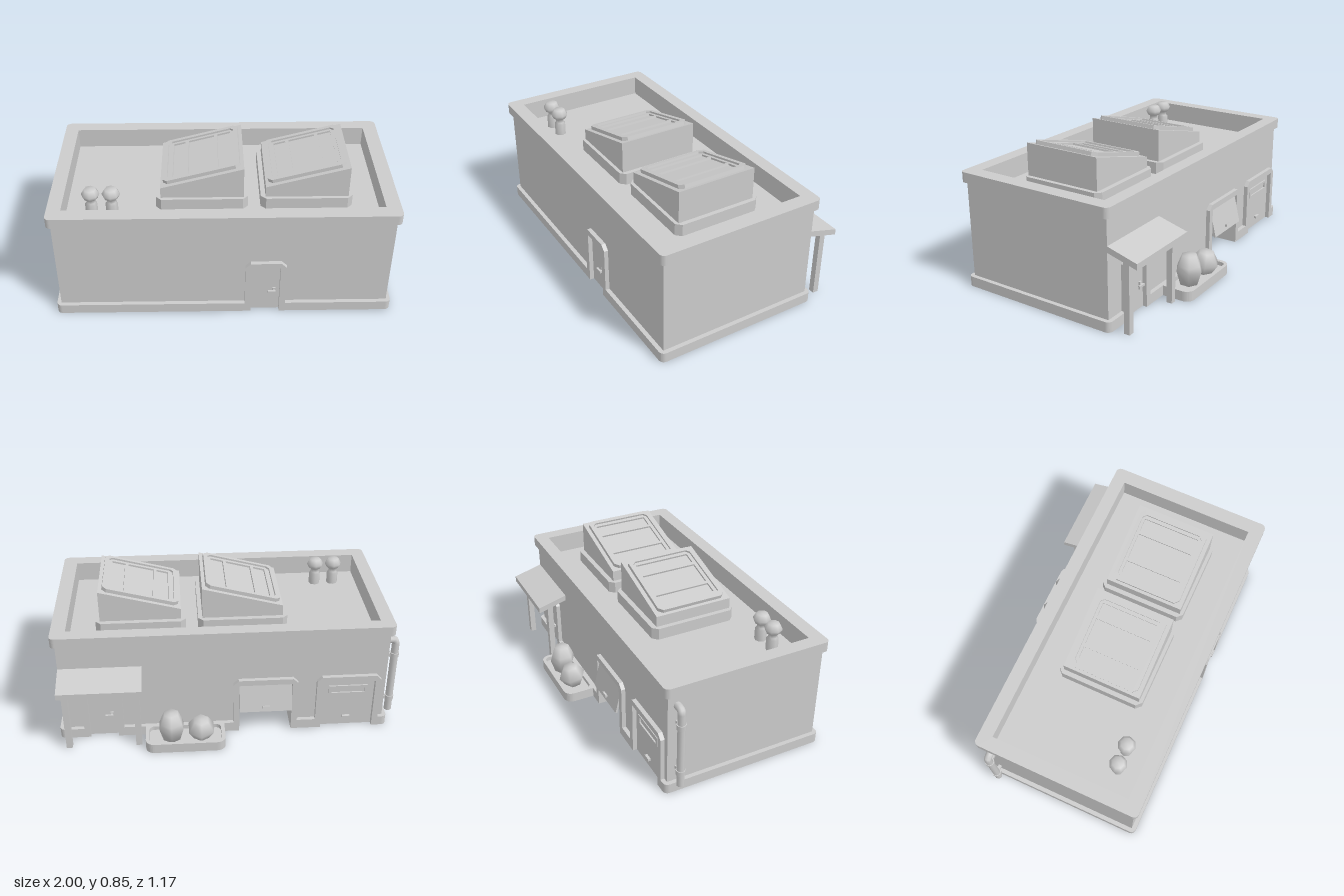
import * as THREE from 'three';

const mat = new THREE.MeshStandardMaterial({ color: 0xcccccc });

function add(parent, name, geo, x = 0, y = 0, z = 0) {
  const m = new THREE.Mesh(geo, mat);
  m.name = name;
  m.position.set(x, y, z);
  parent.add(m);
  return m;
}
const box = (w, h, d) => new THREE.BoxGeometry(w, h, d);
const poly = (pts) => new THREE.Shape(pts.map((p) => new THREE.Vector2(p[0], p[1])));

// Extrude a plan drawn in (x, -z) upwards from y0 to y1
function slab(shape, y0, y1) {
  const g = new THREE.ExtrudeGeometry(shape, { depth: y1 - y0, bevelEnabled: false, curveSegments: 4 });
  return g.rotateX(-Math.PI / 2).translate(0, y0, 0);
}

// Rounded rectangular plan with notches [x0, x1, depth] in its front and back edges
function plan(x0, x1, z0, z1, r = 0, front = [], back = []) {
  const s = new THREE.Shape();
  s.moveTo(x0 + r, -z1);
  for (const [a, b, d] of front) {
    s.lineTo(a, -z1); s.lineTo(a, -z1 + d); s.lineTo(b, -z1 + d); s.lineTo(b, -z1);
  }
  s.lineTo(x1 - r, -z1);
  if (r) s.absarc(x1 - r, -z1 + r, r, -Math.PI / 2, 0);
  s.lineTo(x1, -z0 - r);
  if (r) s.absarc(x1 - r, -z0 - r, r, 0, Math.PI / 2);
  for (const [a, b, d] of back) {
    s.lineTo(b, -z0); s.lineTo(b, -z0 - d); s.lineTo(a, -z0 - d); s.lineTo(a, -z0);
  }
  s.lineTo(x0 + r, -z0);
  if (r) s.absarc(x0 + r, -z0 - r, r, Math.PI / 2, Math.PI);
  s.lineTo(x0, -z1 + r);
  if (r) s.absarc(x0 + r, -z1 + r, r, Math.PI, Math.PI * 1.5);
  return s;
}

// Rectangle with cut corners
function octagon(x0, x1, z0, z1, c) {
  return poly([[x0 + c, -z1], [x1 - c, -z1], [x1, -z1 + c], [x1, -z0 - c],
    [x1 - c, -z0], [x0 + c, -z0], [x0, -z0 - c], [x0, -z1 + c]]);
}
function withHoles(shape, ...holes) {
  shape.holes.push(...holes);
  return shape;
}

// Doorway surround of a given opening width, facing +z
function surround(parent, w) {
  const a = w / 2, b = a + 0.035, h = 0.325, t = 0.36, c = 0.03;
  const s = poly([[-b, 0], [-a, 0], [-a, h], [a, h], [a, 0], [b, 0], [b, t - c], [b - c, t], [-b + c, t], [-b, t - c]]);
  add(parent, 'surround', new THREE.ExtrudeGeometry(s, { depth: 0.035, bevelEnabled: false }), 0, 0, -0.01);
}
function doorway(parent, name, x, z, turn) {
  const g = new THREE.Group();
  g.name = name;
  g.position.set(x, 0, z);
  g.rotation.y = turn;
  surround(g, 0.165);
  add(g, 'doorLeaf', box(0.165, 0.325, 0.01), 0, 0.1625, -0.006);
  add(g, 'handlePlate', box(0.018, 0.045, 0.012), 0.05, 0.14, 0.004);
  add(g, 'handleLever', box(0.045, 0.012, 0.012), 0.037, 0.147, 0.022);
  add(g, 'handleStem', box(0.012, 0.012, 0.02), 0.05, 0.147, 0.012);
  parent.add(g);
}

function skylight(parent, x) {
  const g = new THREE.Group();
  g.name = 'skylight';
  g.position.x = x;
  add(g, 'plinth', slab(octagon(-0.36, 0.165, -0.18, 0.345, 0.03), 0.57, 0.64));
  const side = poly([[-0.333, 0.6], [0.14, 0.6], [0.14, 0.83], [-0.333, 0.705]]);
  add(g, 'wedge', new THREE.ExtrudeGeometry(side, { depth: 0.475, bevelEnabled: false }), 0, 0, -0.15);
  // sloping window, laid out along the slope
  const slope = new THREE.Group();
  slope.name = 'window';
  slope.position.set(-0.333, 0.705, 0);
  slope.rotation.z = Math.atan2(0.125, 0.473);
  add(slope, 'windowFrame', slab(withHoles(octagon(0.018, 0.468, -0.125, 0.3, 0.025),
    octagon(0.045, 0.442, -0.102, 0.277, 0.02)), -0.005, 0.022));
  const panes = [[0.075, 0.147], [0.167, 0.322], [0.342, 0.42]];
  add(slope, 'glazingBars', slab(withHoles(octagon(0.045, 0.442, -0.102, 0.277, 0.02),
    ...panes.map(([a, b]) => plan(a, b, -0.085, 0.255))), -0.004, 0.011));
  g.add(slope);
  parent.add(g);
}

function lathe(pts, n) {
  return new THREE.LatheGeometry(pts.map((p) => new THREE.Vector2(p[0], p[1])), n);
}

export function createModel() {
  const root = new THREE.Group();
  root.name = 'building';
  const doorF = 0.2625, doorB = 0.74, bay = -0.215, garage = -0.705;
  const span = (c, w, d) => [c - w / 2, c + w / 2, d];

  // Base, walls with recesses, and parapet around a sunken roof
  add(root, 'base', slab(plan(-0.95, 1, -0.41, 0.585, 0.03, [span(doorF, 0.235, 0.035)],
    [span(doorB, 0.235, 0.035), span(bay, 0.31, 0.21), span(garage, 0.38, 0.035)]), 0, 0.06));
  add(root, 'lowerWalls', slab(plan(-0.925, 0.975, -0.385, 0.56, 0, [span(doorF, 0.165, 0.01)],
    [span(doorB, 0.165, 0.01), span(bay, 0.31, 0.185), span(garage, 0.31, 0.01)]), 0.06, 0.325));
  add(root, 'upperWalls', slab(plan(-0.925, 0.975, -0.385, 0.56), 0.325, 0.57));
  const inner = () => plan(-0.87, 0.915, -0.33, 0.5);
  add(root, 'parapetWall', slab(withHoles(plan(-0.925, 0.975, -0.385, 0.56), inner()), 0.57, 0.63));
  add(root, 'parapetCap', slab(withHoles(plan(-0.95, 1, -0.41, 0.585, 0.03), inner()), 0.63, 0.69));

  doorway(root, 'frontDoor', doorF, 0.56, 0);
  doorway(root, 'backDoor', doorB, -0.385, Math.PI);

  // Half-open bay and closed garage door at the back
  for (const [name, x] of [['openBay', bay], ['garage', garage]]) {
    const g = new THREE.Group();
    g.name = name;
    g.position.set(x, 0, -0.385);
    g.rotation.y = Math.PI;
    surround(g, 0.31);
    const leaf = new THREE.Group();
    leaf.name = 'shutter';
    g.add(leaf);
    if (name === 'openBay') {
      leaf.position.set(0, 0.325, 0);
      leaf.rotation.x = -0.24;
      add(leaf, 'panel', box(0.308, 0.18, 0.012), 0, -0.09, 0);
      add(leaf, 'handle', box(0.045, 0.014, 0.016), 0, -0.15, 0.012);
    } else {
      add(leaf, 'panel', box(0.31, 0.325, 0.01), 0, 0.1625, -0.006);
      const slot = withHoles(plan(-0.115, 0.115, -0.03, 0.03), plan(-0.1, 0.1, -0.018, 0.018));
      add(leaf, 'slotFrame', new THREE.ExtrudeGeometry(slot, { depth: 0.01, bevelEnabled: false }), 0, 0.255, -0.002);
      add(leaf, 'handle', box(0.045, 0.014, 0.018), 0, 0.06, 0.006);
    }
    root.add(g);
  }

  // Awning on two posts over the back door
  const roof = poly([[0.385, 0.44], [0.565, 0.39], [0.565, 0.425], [0.385, 0.475]]);
  const awning = new THREE.ExtrudeGeometry(roof, { depth: 0.475, bevelEnabled: false });
  add(root, 'awning', awning.rotateY(Math.PI / 2), 0.5, 0, 0);
  for (const x of [0.535, 0.94]) add(root, 'awningPost', box(0.035, 0.42, 0.035), x, 0.21, -0.487);

  // Planter tray with two six-sided jars
  const trayPlan = (x0, x1, z0, r) => {
    const s = new THREE.Shape();
    s.moveTo(x0, 0.405);
    s.lineTo(x1, 0.405);
    s.lineTo(x1, -z0 - r);
    s.absarc(x1 - r, -z0 - r, r, 0, Math.PI / 2);
    s.absarc(x0 + r, -z0 - r, r, Math.PI / 2, Math.PI);
    return s;
  };
  add(root, 'trayFloor', slab(trayPlan(0.03, 0.495, -0.585, 0.05), 0, 0.035));
  const rim = trayPlan(0.03, 0.495, -0.585, 0.05);
  rim.holes.push(plan(0.052, 0.473, -0.565, -0.415, 0.03));
  add(root, 'trayRim', slab(rim, 0.035, 0.06));
  add(root, 'tallJar', lathe([[0, 0.035], [0.055, 0.035], [0.08, 0.12], [0.07, 0.15], [0.045, 0.21], [0, 0.21]], 6),
    0.343, 0, -0.488);
  const jar = add(root, 'roundJar', lathe([[0, -0.065], [0.05, -0.065], [0.084, 0], [0.045, 0.065], [0, 0.065]], 6),
    0.17, 0.1, -0.493);
  jar.rotation.x = -0.15;

  // Rooftop skylights and vents
  skylight(root, 0);
  skylight(root, 0.597);
  for (const x of [-0.72, -0.605]) {
    add(root, 'roofVent', lathe([[0.035, 0.57], [0.035, 0.64], [0.025, 0.65], [0.025, 0.67], [0.04, 0.68],
      [0.052, 0.705], [0.034, 0.737], [0, 0.737]], 8), x, 0, 0.37);
  }

  // Drain pipe with elbow and collars on the side wall
  const path = new THREE.CurvePath();
  const P = [[-0.974, 0.06], [-0.974, 0.545], [-0.96, 0.558], [-0.92, 0.558]].map((p) => new THREE.Vector3(p[0], p[1], -0.33));
  for (let i = 0; i < 3; i++) path.add(new THREE.LineCurve3(P[i], P[i + 1]));
  add(root, 'drainPipe', new THREE.TubeGeometry(path, 40, 0.022, 10));
  add(root, 'pipeEnd', new THREE.CylinderGeometry(0.022, 0.022, 0.01, 10), -0.974, 0.065, -0.33);
  for (const y of [0.15, 0.455]) {
    add(root, 'pipeCollar', new THREE.CylinderGeometry(0.027, 0.027, 0.03, 10), -0.973, y, -0.33);
    add(root, 'pipeBracket', box(0.05, 0.02, 0.02), -0.945, y, -0.33);
  }
  return root;
}
